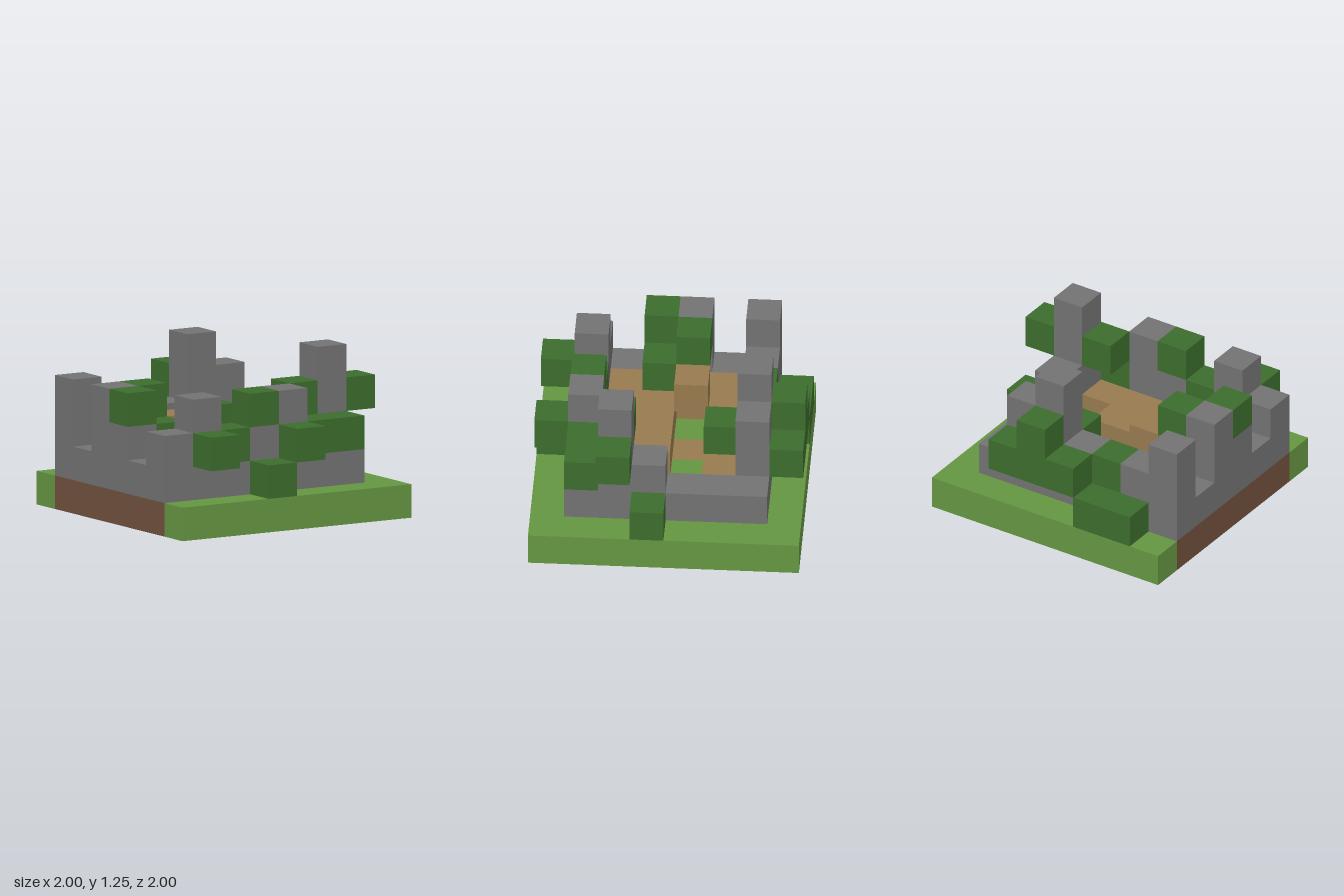
import * as THREE from 'three';

const CELL = 0.25;

const mat = (name, color) => {
  const m = new THREE.MeshStandardMaterial({ color });
  m.name = name;
  return m;
};

// Floor plans, bottom to top. Rows run back to front, letters left to right in x:
// G grass, D dirt, S stone, L leaves, W wood, . empty
const LAYERS = [
  ['GGGGGGGG',
   'DDDDDDDG',
   'DDDDGDDG',
   'DDGWGGDG',
   'DDDDDGDG',
   'DDDDDDDG',
   'DDDDDDDG',
   'GGGGGGGG'],
  ['.LL.....',
   'SSSSSSS.',
   'SWWW.WS.',
   'SW....S.',
   'SWWWW.SL',
   'SWWWWWS.',
   'SSSSSSS.',
   '...L....'],
  ['...LLL..',
   'SSLSSS..',
   '....L...',
   'S.W.....',
   'SL....S.',
   '......S.',
   'SSLSSLL.',
   '.L..L...'],
  ['....L...',
   'S...SS..',
   '........',
   'SL......',
   'L.......',
   '.....LSL',
   '.S.LS...',
   '........'],
  ['........',
   '....S...',
   '........',
   '........',
   '........',
   '......S.',
   '........',
   '........'],
];

// Grow each unused cell into the widest, then deepest, rectangle of the same letter
function rectangles(plan) {
  const grid = plan.map((row) => [...row]);
  const found = [];
  for (let k = 0; k < 8; k++) {
    for (let i = 0; i < 8; i++) {
      const kind = grid[k][i];
      if (kind === '.') continue;
      let w = 1;
      while (grid[k][i + w] === kind) w++;
      let d = 1;
      while (k + d < 8 && grid[k + d].slice(i, i + w).every((c) => c === kind)) d++;
      for (let r = k; r < k + d; r++) grid[r].fill('.', i, i + w);
      found.push({ kind, i, k, w, d });
    }
  }
  return found;
}

export function createModel() {
  const model = new THREE.Group();
  model.name = 'overgrownRuin';

  const kinds = {
    G: ['grassGround', mat('grass', 0x659542)],
    D: ['dirtFoundation', mat('dirt', 0x70503d)],
    S: ['stoneWall', mat('stone', 0x727272)],
    L: ['leaves', mat('leaf', 0x3c6c2c)],
    W: ['woodFloor', mat('wood', 0x987a4f)],
  };

  // One group for each material part, filled with blocks layer by layer
  const groups = {};
  for (const kind in kinds) {
    groups[kind] = new THREE.Group();
    groups[kind].name = kinds[kind][0];
    model.add(groups[kind]);
  }

  LAYERS.forEach((plan, j) => {
    for (const { kind, i, k, w, d } of rectangles(plan)) {
      const [name, material] = kinds[kind];
      const block = new THREE.Mesh(new THREE.BoxGeometry(w * CELL, CELL, d * CELL), material);
      block.name = name + 'Block';
      block.position.set((i + w / 2 - 4) * CELL, (j + 0.5) * CELL, (k + d / 2 - 4) * CELL);
      groups[kind].add(block);
    }
  });

  return model;
}
